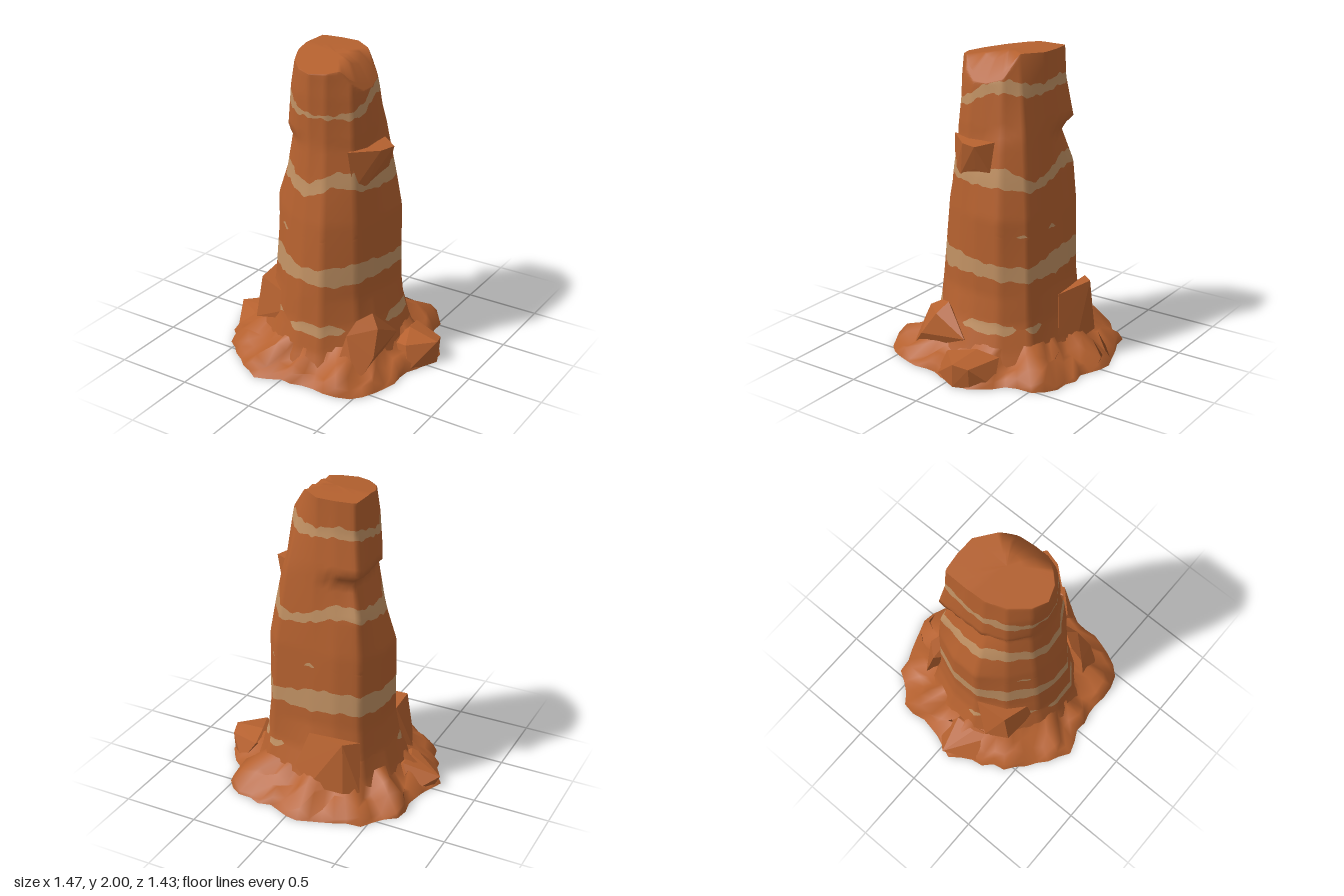
import * as THREE from 'three';
import { ConvexGeometry } from 'three/addons/geometries/ConvexGeometry.js';

const COLS = 108;
const TAU = Math.PI * 2;

// Cyclic Catmull-Rom lookup of evenly spaced values around the rock (0 = +x, a quarter = +z)
function around(values, a) {
  const n = values.length;
  const t = ((a / TAU) % 1 + 1) % 1 * n;
  const i = Math.floor(t), f = t - i;
  const [p, q, r, s] = [-1, 0, 1, 2].map(k => values[(i + k + n) % n]);
  return q + 0.5 * f * (r - p + f * (2 * p - 5 * q + 4 * r - s + f * (3 * (q - r) + s - p)));
}

// Pillar cross-sections: corner angles in degrees, then height and corner radii
const corners = [0, 20, 40, 70, 90, 110, 140, 170, 197, 224, 245, 270, 310, 335];
const sections = [
  [0.00, [.54, .56, .57, .56, .545, .54, .55, .555, .55, .57, .53, .53, .57, .56]],
  [0.15, [.48, .49, .50, .50, .485, .48, .49, .495, .49, .51, .47, .46, .51, .50]],
  [0.32, [.42, .43, .445, .465, .445, .43, .43, .435, .44, .47, .42, .40, .46, .45]],
  [0.50, [.39, .39, .415, .445, .43, .41, .395, .405, .415, .45, .39, .36, .45, .43]],
  [1.00, [.38, .37, .39, .40, .37, .36, .355, .40, .41, .44, .37, .33, .42, .425]],
  [1.25, [.345, .35, .365, .355, .33, .32, .31, .32, .33, .42, .34, .31, .38, .38]],
  [1.49, [.29, .31, .33, .32, .31, .29, .27, .23, .24, .33, .30, .29, .34, .33]],
  [1.53, [.29, .31, .33, .32, .31, .30, .30, .30, .315, .42, .34, .29, .33, .31]],
  [1.80, [.26, .28, .30, .31, .315, .30, .28, .27, .29, .365, .30, .26, .26, .27]],
  [2.00, [.25, .25, .26, .29, .31, .28, .25, .25, .27, .355, .29, .26, .21, .23]],
];
// Radius along the straight chord between neighbouring corners
function chord(radii, a) {
  const d = ((a / TAU * 360) % 360 + 360) % 360;
  let i = corners.length - 1;
  while (corners[i] > d) i--;
  const next = (i + 1) % corners.length;
  const span = ((corners[next] - corners[i] + 360) % 360) * TAU / 360;
  const t = (d - corners[i]) * TAU / 360;
  const r0 = radii[i], r1 = radii[next];
  return r0 * r1 * Math.sin(span) / (r0 * Math.sin(t) + r1 * Math.sin(span - t));
}
function radius(a, y) {
  let k = 0;
  while (k < sections.length - 2 && y > sections[k + 1][0]) k++;
  const [y0, r0] = sections[k], [y1, r1] = sections[k + 1];
  return THREE.MathUtils.lerp(chord(r0, a), chord(r1, a), (y - y0) / (y1 - y0));
}
// Sloping summit that cuts the pillar off
const summitY = (x, z) => Math.min(2, 2 - (x - 0.13) * 1.4, 2 - (z + 0.05) * 0.16);
function pillarPoint(a, y, scale = 1) {
  const r = radius(a, y) * scale, x = r * Math.cos(a), z = r * Math.sin(a);
  return [x, Math.min(y, summitY(x, z)), z];
}

// Closed tube of rows, each row a function of angle; tones gives a material index per strip
function loft(rows, tones, cols = COLS) {
  const pos = [], index = [], geo = new THREE.BufferGeometry();
  rows.forEach(row => {
    for (let i = 0; i < cols; i++) pos.push(...row(i / cols * TAU, i));
  });
  for (let j = 0; j < rows.length - 1; j++) {
    geo.addGroup(index.length, cols * 6, tones ? tones[j] : 0);
    for (let i = 0; i < cols; i++) {
      const a = j * cols + i, b = j * cols + (i + 1) % cols;
      index.push(a, a + cols, b, b, a + cols, b + cols);
    }
  }
  geo.setAttribute('position', new THREE.Float32BufferAttribute(pos, 3));
  geo.setIndex(index);
  geo.computeVertexNormals();
  return geo;
}

// Pale strata: lower and upper edge heights every 30 degrees
const strata = [
  [[.62, .61, .59, .61, .60, .60, .61, .60, .61, .59, .60, .61],
   [.72, .74, .72, .70, .75, .76, .74, .74, .75, .74, .70, .71]],
  [[1.20, 1.21, 1.24, 1.16, 1.20, 1.21, 1.20, 1.22, 1.25, 1.20, 1.17, 1.20],
   [1.31, 1.33, 1.33, 1.25, 1.30, 1.33, 1.29, 1.30, 1.34, 1.27, 1.23, 1.32]],
  [[1.75, 1.67, 1.67, 1.67, 1.67, 1.70, 1.72, 1.75, 1.77, 1.75, 1.74, 1.77],
   [1.82, 1.73, 1.695, 1.695, 1.73, 1.79, 1.77, 1.81, 1.84, 1.81, 1.82, 1.85]],
];
// Broken patches at one height: centre and half width in degrees
const lowPatches = [[75, 24], [344, 24], [170, 6], [305, 7], [119, 6]];
const lowRise = [[119, 14]];
const specks = [[121, 6], [273, 5], [315, 3]];
function patchHalf(patches, thickness, a) {
  const d = a / TAU * 360;
  return Math.max(...patches.map(([c, w]) => {
    const u = (((d - c) % 360 + 540) % 360 - 180) / w;
    const fit = Math.min(1, 0.35 + w / 24);
    return thickness * fit * Math.pow(Math.max(0, 1 - u * u), 0.35);
  }));
}
const ripple = (a, k) => 0.006 * Math.sin(a * 17 + k * 2) + 0.004 * Math.sin(a * 29 + k);

function pillarGeometry() {
  const edges = [() => 0.02];
  const addPatches = (height, patches, thickness) => [-1, 1].forEach(side =>
    edges.push(a => height(a) + ripple(a, 1) + side * patchHalf(patches, thickness, a)));
  const addStratum = ([lo, hi], k) =>
    edges.push(a => around(lo, a) + ripple(a, k), a => around(hi, a) + ripple(a, k + 4));
  addPatches(a => 0.295 + patchHalf(lowRise, 0.055, a), lowPatches, 0.036);
  addStratum(strata[0], 0);
  addPatches(() => 0.9, specks, 0.022);
  addStratum(strata[1], 1);
  addStratum(strata[2], 2);
  edges.push(() => 2);
  const rows = [], tones = [];
  for (let e = 0; e < edges.length - 1; e++) {
    const pale = e % 2, steps = pale ? 3 : 10;
    for (let s = e ? 1 : 0; s <= steps; s++) {
      rows.push(a => pillarPoint(a, THREE.MathUtils.lerp(edges[e](a), edges[e + 1](a), s / steps)));
      if (rows.length > 1) tones.push(pale);
    }
  }
  return loft(rows, tones);
}

// Footprint radii every 15 degrees
const footprint = [.71, .65, .70, .75, .74, .66, .67, .72, .70, .70, .67, .70,
  .72, .66, .73, .76, .72, .70, .70, .68, .73, .71, .65, .71];

// Angular rocks: corner points of each hull
const rocks = {
  leftWedge: [[-.74, .08, .04], [-.70, 0, .04], [-.5, .15, -.02], [-.5, .14, .12], [-.6, 0, .3],
    [-.45, .13, .25], [-.6, 0, -.1], [-.4, .1, 0]],
  rightBlock: [[.73, .15, -.07], [.73, 0, -.07], [.70, .13, -.17], [.69, 0, -.17], [.51, .18, -.1],
    [.63, 0, .13], [.58, .15, .08], [.58, 0, -.28], [.48, .15, -.25], [.4, .1, 0]],
  frontRightRock: [[.34, .36, .30], [.40, .39, .20], [.47, .32, .25], [.5, .17, .35], [.30, .13, .45],
    [.48, .2, .02], [.33, .3, .40], [.45, 0, .48], [.3, .1, .1]],
  frontLeftSlab: [[-.40, .49, .08], [-.38, .48, .30], [0, .41, .40], [-.43, .32, .18],
    [-.40, .2, .35], [-.47, .15, .2], [-.05, .3, .39], [-.2, .2, .1]],
  backSlab: [[-.27, .46, -.45], [-.35, .45, -.36], [0, .44, -.38], [-.38, .12, -.42], [-.29, .12, -.48],
    [-.05, .12, -.49], [.08, .2, -.43], [-.1, .3, -.2]],
  highLedge: [[.26, 1.48, -.12], [.41, 1.46, -.02], [.38, 1.46, .09], [.24, 1.47, .25], [.345, 1.30, .02],
    [.32, 1.24, .15], [.27, 1.22, .23], [.32, 1.25, -.10], [.15, 1.4, 0]],
};

export function createModel() {
  const group = new THREE.Group();
  const clay = new THREE.MeshStandardMaterial({ color: 0xb5612f });
  clay.name = 'red clay';
  const sand = new THREE.MeshStandardMaterial({ color: 0xc19163 });
  sand.name = 'pale sandstone';
  const add = (name, geometry, material = clay) => {
    const mesh = new THREE.Mesh(geometry, material);
    mesh.name = name;
    group.add(mesh);
  };

  add('pillar', pillarGeometry(), [clay, sand]);
  add('summit', loft([1, 0.66, 0.33, 0].map(s => a => {
    const [x, , z] = pillarPoint(a, 2, s);
    return [x, summitY(x, z), z];
  })));

  // Jagged rubble skirt
  let seed = 7;
  const random = () => (seed = (seed * 16807) % 2147483647) / 2147483647;
  const sides = 56;
  const jag = Array.from({ length: sides }, () => [random() - 0.5, random() - 0.5, random() - 0.5]);
  const foot = (a, i) => around(footprint, a) + jag[i][0] * 0.05;
  const ring = (a, r, y) => [r * Math.cos(a), y, r * Math.sin(a)];
  add('rubbleSkirt', loft([
    (a, i) => ring(a, foot(a, i), 0),
    (a, i) => ring(a, foot(a, i) - 0.03 + jag[i][1] * 0.05, 0.04 + jag[i][2] * 0.05),
    (a, i) => ring(a, foot(a, i) * 0.87 + jag[i][2] * 0.08, 0.08 + jag[i][1] * 0.11),
    (a, i) => ring(a, foot(a, i) * 0.75 + jag[i][1] * 0.05, 0.12 + jag[i][0] * 0.11),
    a => ring(a, radius(a, 0.21) - 0.02, 0.21),
  ], null, sides));
  add('underside', loft([() => [0, 0, 0], (a, i) => ring(a, foot(a, i), 0)], null, sides));

  for (const [name, points] of Object.entries(rocks)) {
    add(name, new ConvexGeometry(points.map(p => new THREE.Vector3(...p))));
  }
  return group;
}
